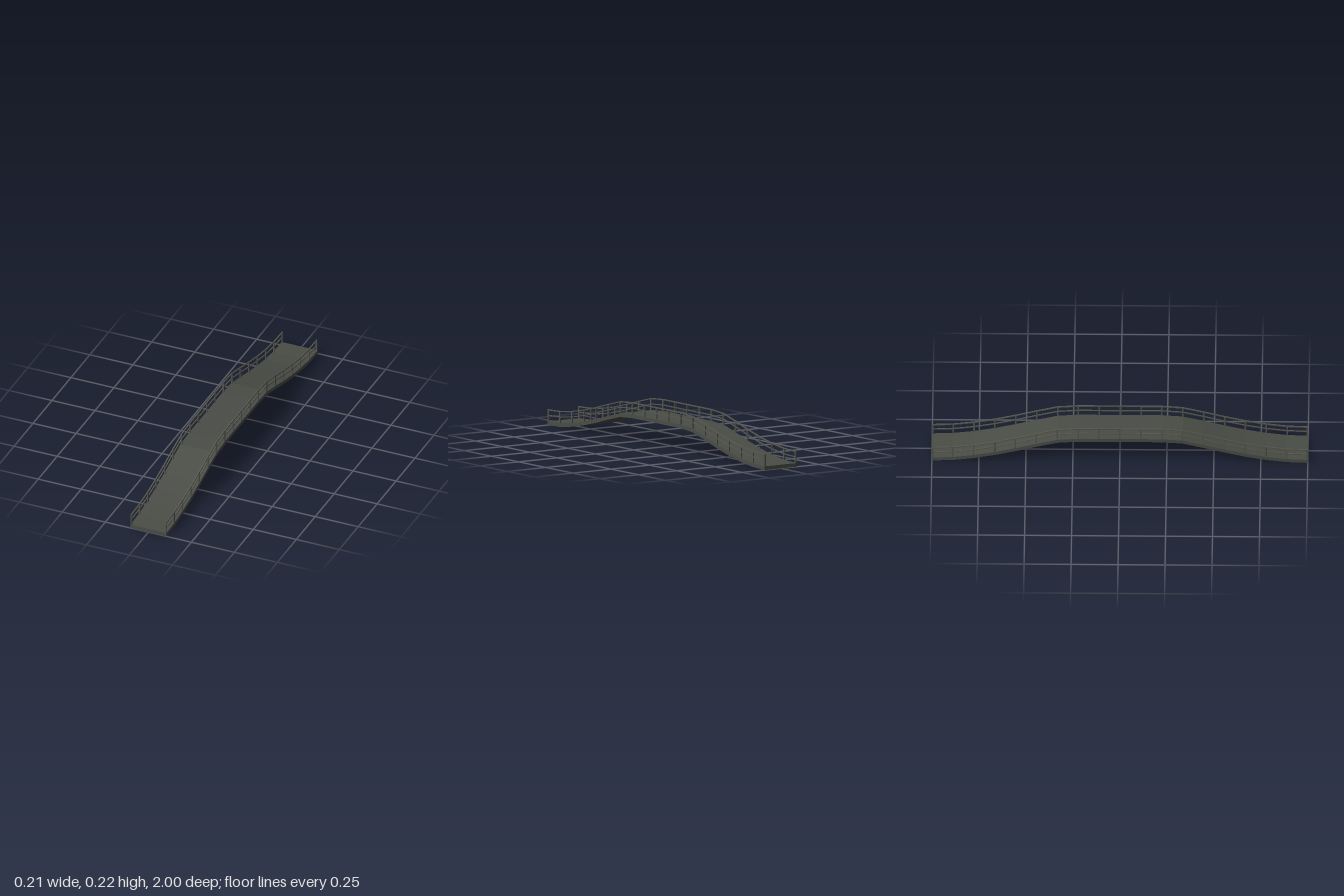
import * as THREE from 'three';

// deck-top heights from one end to the start of the flat middle, one per post bay
const RISE = [0.02, 0.024, 0.038, 0.059, 0.086, 0.116, 0.144, 0.152];
const BAYS = 18;
const stations = Array.from({ length: BAYS + 1 }, (_, i) => ({
  z: -1 + (2 * i) / BAYS,
  y: RISE[Math.min(i, BAYS - i, RISE.length - 1)],
}));

// band following the walkway, between two heights relative to the deck top
function band(name, low, high, width, x, material) {
  const shape = new THREE.Shape([
    ...stations.map((s) => new THREE.Vector2(-s.z, s.y + low)),
    ...stations.slice().reverse().map((s) => new THREE.Vector2(-s.z, s.y + high)),
  ]);
  const geometry = new THREE.ExtrudeGeometry(shape, { depth: width, bevelEnabled: false });
  geometry.translate(0, 0, -width / 2);
  geometry.rotateY(Math.PI / 2);
  const mesh = new THREE.Mesh(geometry, material);
  mesh.name = name;
  mesh.position.x = x;
  return mesh;
}

export function createModel() {
  const bridge = new THREE.Group();
  bridge.name = 'footbridge';
  const deckMaterial = new THREE.MeshStandardMaterial({ color: 0x4a4d46 });
  const railMaterial = new THREE.MeshStandardMaterial({ color: 0x55574f });

  // arched walkway slab
  bridge.add(band('deck', -0.02, 0, 0.21, 0, deckMaterial));

  // railing on each side: two rails and a post at every station
  const postGeometry = new THREE.BoxGeometry(0.007, 0.065, 0.008);
  for (const side of [1, -1]) {
    const railing = new THREE.Group();
    railing.name = side > 0 ? 'leftRailing' : 'rightRailing';
    const x = side * 0.1;
    railing.add(band('topRail', 0.059, 0.065, 0.007, x, railMaterial));
    railing.add(band('middleRail', 0.03, 0.035, 0.006, x, railMaterial));
    for (const { z, y } of stations) {
      const post = new THREE.Mesh(postGeometry, railMaterial);
      post.name = 'post';
      post.position.set(x, y + 0.0315, THREE.MathUtils.clamp(z, -0.996, 0.996));
      railing.add(post);
    }
    bridge.add(railing);
  }
  return bridge;
}
